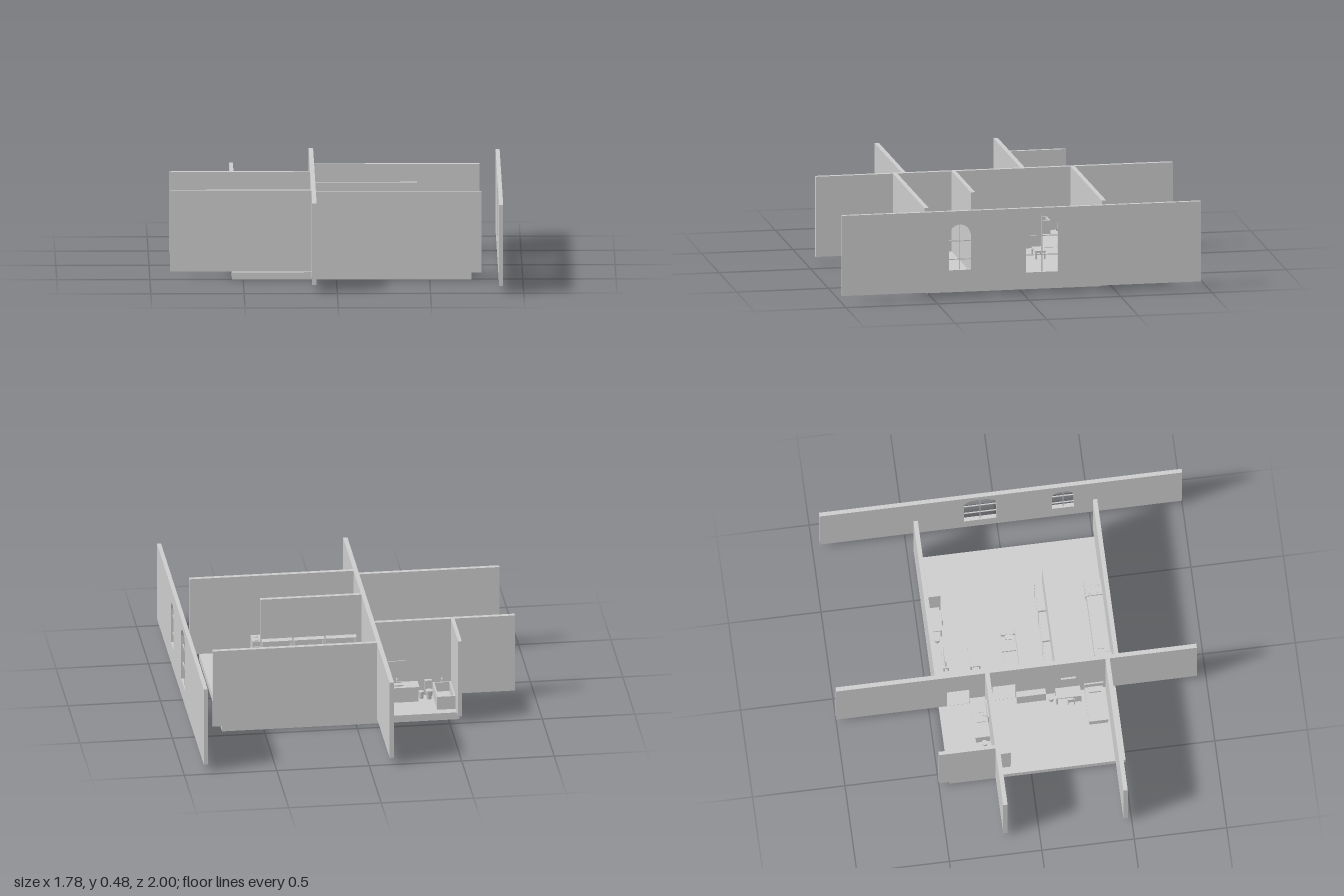
import * as THREE from 'three';

const grey = new THREE.MeshStandardMaterial({ color: 0xcccccc, flatShading: true });
const FLOOR = 0.04, TOP = 0.48;

// Box given by its limits on each axis
function box(parent, name, x0, x1, y0, y1, z0, z1) {
  const m = new THREE.Mesh(new THREE.BoxGeometry(x1 - x0, y1 - y0, z1 - z0), grey);
  m.position.set((x0 + x1) / 2, (y0 + y1) / 2, (z0 + z1) / 2);
  m.name = name;
  parent.add(m);
  return m;
}

function cyl(parent, name, x, z, y0, y1, r0, r1 = r0) {
  const m = new THREE.Mesh(new THREE.CylinderGeometry(r1, r0, y1 - y0, 16), grey);
  m.position.set(x, (y0 + y1) / 2, z);
  m.name = name;
  parent.add(m);
  return m;
}

function group(parent, name) {
  const g = new THREE.Group();
  g.name = name;
  parent.add(g);
  return g;
}

// Wall running along z, drawn as a (z, y) outline with openings
function zWall(parent, name, x0, x1, z0, z1, holes) {
  const s = new THREE.Shape();
  s.moveTo(z0, FLOOR).lineTo(z1, FLOOR).lineTo(z1, TOP).lineTo(z0, TOP).closePath();
  s.holes.push(...holes);
  const g = new THREE.ExtrudeGeometry(s, { depth: x1 - x0, bevelEnabled: false, curveSegments: 16 });
  const m = new THREE.Mesh(g, grey);
  m.rotation.y = -Math.PI / 2;
  m.position.x = x1;
  m.name = name;
  parent.add(m);
}

function archHole(z0, z1, y0, spring, top) {
  const p = new THREE.Path();
  p.moveTo(z0, y0).lineTo(z1, y0).lineTo(z1, spring);
  p.absellipse((z0 + z1) / 2, spring, (z1 - z0) / 2, top - spring, 0, Math.PI, false);
  return p.closePath();
}

function doorHole(z0, z1) {
  return new THREE.Path().moveTo(z0, FLOOR + 0.002).lineTo(z1, FLOOR + 0.002)
    .lineTo(z1, 0.255).lineTo(z0, 0.255).closePath();
}

function table(parent, name, x0, x1, y1, z0, z1, t = 0.01, leg = 0.008) {
  const g = group(parent, name);
  box(g, 'tabletop', x0, x1, y1 - t, y1, z0, z1);
  for (const x of [x0, x1 - leg]) for (const z of [z0, z1 - leg])
    box(g, 'leg', x, x + leg, FLOOR, y1 - t, z, z + leg);
  return g;
}

// Desk with drawers, a stool and a bin, built facing +z with its back on z = 0
function deskSet(parent) {
  const g = group(parent, 'deskSet');
  table(g, 'desk', 0, 0.135, 0.13, 0, 0.06);
  box(g, 'drawers', 0.09, 0.133, FLOOR, 0.12, 0.004, 0.056);
  const c = table(g, 'chair', 0.06, 0.1, 0.09, 0.035, 0.072, 0.008, 0.005);
  box(c, 'chairBack', 0.06, 0.1, 0.09, 0.12, 0.068, 0.072);
  cyl(g, 'bin', -0.025, 0.03, FLOOR, 0.08, 0.012, 0.015);
  return g;
}

function faucet(parent, x, z, y, dir) {
  cyl(parent, 'faucet', x, z, y, y + 0.025, 0.003);
  box(parent, 'spout', x - 0.002, x + 0.002, y + 0.021, y + 0.025, Math.min(z, z + dir * 0.018), Math.max(z, z + dir * 0.018));
}

// Raised rim of a basin or tub
function rim(parent, name, x0, x1, y0, y1, z0, z1, t) {
  const g = group(parent, name);
  box(g, 'base', x0, x1, y0, y0 + (y1 - y0) * 0.3, z0, z1);
  box(g, 'sideWall', x0, x0 + t, y0, y1, z0, z1);
  box(g, 'sideWall', x1 - t, x1, y0, y1, z0, z1);
  box(g, 'endWall', x0 + t, x1 - t, y0, y1, z0, z0 + t);
  box(g, 'endWall', x0 + t, x1 - t, y0, y1, z1 - t, z1);
}

export function createModel() {
  const root = new THREE.Group();
  root.name = 'house';
  box(root, 'floor', -0.56, 0.725, 0, FLOOR, -0.445, 0.51);

  // Walls
  const walls = group(root, 'walls');
  zWall(walls, 'windowWall', 0.868, 0.89, -0.96, 1.0,
    [archHole(0.297, 0.415, 0.157, 0.347, 0.406), archHole(-0.18, -0.005, 0.128, 0.375, 0.44)]);
  zWall(walls, 'centreWall', -0.134, -0.11, -1.0, 0.95, [doorHole(-0.4, -0.28), doorHole(-0.155, -0.03)]);
  for (const [x0, x1, z0, z1] of [
    [-0.11, 0.777, -0.465, -0.441], [-0.11, 0.777, 0.505, 0.529], [-0.11, 0.435, 0.185, 0.208],
    [-0.892, -0.134, 0.455, 0.479], [-0.892, -0.134, -0.195, -0.171], [-0.565, -0.545, -0.5, -0.195],
  ]) box(walls, 'wall', x0, x1, FLOOR, TOP, z0, z1);

  // Window bars
  for (const [z0, z1, y0, y1, bars] of [[0.297, 0.415, 0.157, 0.406, [0.215, 0.315]], [-0.18, -0.005, 0.128, 0.44, [0.222, 0.326]]]) {
    const c = (z0 + z1) / 2;
    box(walls, 'windowBar', 0.876, 0.882, y0, y1, c - 0.0025, c + 0.0025);
    for (const y of bars) box(walls, 'windowBar', 0.876, 0.882, y - 0.0025, y + 0.0025, z0, z1);
  }

  // Living room
  const living = group(root, 'livingRoom');
  const sofa = group(living, 'sofa');
  box(sofa, 'seat', 0.02, 0.208, 0.05, 0.085, -0.06, 0.01);
  box(sofa, 'back', 0.0, 0.225, FLOOR, 0.14, 0.01, 0.03);
  for (const x of [0, 0.205]) box(sofa, 'arm', x, x + 0.02, FLOOR, 0.11, -0.065, 0.01);
  for (const x of [0.025, 0.116]) box(sofa, 'cushion', x, x + 0.086, 0.085, 0.096, -0.07, 0.008);
  const pillow = box(sofa, 'pillow', 0.175, 0.2, 0.096, 0.135, -0.045, -0.005);
  pillow.rotation.z = 0.3;
  table(living, 'coffeeTable', 0.055, 0.172, 0.085, -0.25, -0.195);
  const stand = table(living, 'screenStand', 0.065, 0.16, 0.085, -0.395, -0.365);
  box(stand, 'screen', 0.07, 0.155, 0.095, 0.165, -0.384, -0.377);
  box(stand, 'screenFoot', 0.1, 0.125, 0.085, 0.095, -0.388, -0.372);
  deskSet(living).position.set(0.265, 0, -0.436);
  const cabinet = group(living, 'cabinet');
  box(cabinet, 'cabinetBody', 0.415, 0.58, FLOOR, 0.26, -0.43, -0.365);
  for (const z of [-0.412, -0.377]) cyl(cabinet, 'handle', 0.584, z, 0.13, 0.17, 0.004);

  // Bookcases
  for (let i = 0; i < 3; i++) {
    const g = group(living, 'bookcase'), x0 = -0.08 + i * 0.173, x1 = x0 + 0.165;
    box(g, 'backPanel', x0, x1, FLOOR, 0.25, 0.178, 0.185);
    for (const x of [x0, x1 - 0.007]) box(g, 'sidePanel', x, x + 0.007, FLOOR, 0.25, 0.145, 0.178);
    for (let k = 0; k < 5; k++)
      box(g, 'shelf', x0 + 0.007, x1 - 0.007, FLOOR + k * 0.0507, FLOOR + 0.007 + k * 0.0507, 0.145, 0.178);
  }

  // Kitchen
  const kitchen = group(root, 'kitchen');
  box(kitchen, 'fridge', -0.108, -0.012, FLOOR, 0.25, 0.415, 0.504);
  box(kitchen, 'fridgeHandle', -0.026, -0.021, 0.11, 0.19, 0.408, 0.415);
  box(kitchen, 'counter', -0.012, 0.358, FLOOR, 0.13, 0.418, 0.504);
  rim(kitchen, 'sink', -0.004, 0.058, 0.13, 0.136, 0.435, 0.485, 0.005);
  faucet(kitchen, 0.027, 0.492, 0.13, -1);
  box(kitchen, 'stove', 0.36, 0.448, FLOOR, 0.135, 0.416, 0.504);
  box(kitchen, 'ovenDoor', 0.368, 0.44, 0.055, 0.105, 0.412, 0.416);
  for (const x of [0.383, 0.425]) for (const z of [0.438, 0.482]) cyl(kitchen, 'burner', x, z, 0.135, 0.138, 0.014);

  // Bedroom
  const bedroom = group(root, 'bedroom');
  box(bedroom, 'bedBase', -0.34, -0.14, 0.05, 0.085, 0.342, 0.442);
  box(bedroom, 'mattress', -0.338, -0.146, 0.085, 0.1, 0.345, 0.439);
  box(bedroom, 'blanket', -0.343, -0.215, 0.08, 0.104, 0.34, 0.444);
  box(bedroom, 'headboard', -0.146, -0.138, FLOOR, 0.145, 0.34, 0.444);
  box(bedroom, 'pillow', -0.18, -0.15, 0.1, 0.115, 0.36, 0.425);
  for (const x of [-0.335, -0.155]) for (const z of [0.348, 0.43]) box(bedroom, 'bedLeg', x, x + 0.008, FLOOR, 0.05, z, z + 0.008);
  const desk = deskSet(bedroom);
  desk.rotation.y = -Math.PI / 2;
  desk.position.set(-0.14, 0, 0.182);
  box(bedroom, 'wallPanel', -0.145, -0.135, 0.17, 0.265, 0.215, 0.295);
  box(bedroom, 'lowShelf', -0.168, -0.136, FLOOR, 0.14, -0.028, 0.13);
  box(bedroom, 'dresser', -0.52, -0.357, FLOOR, 0.255, -0.17, -0.108);
  for (let k = 0; k < 4; k++)
    box(bedroom, 'drawerFront', -0.512, -0.365, 0.05 + k * 0.05, 0.093 + k * 0.05, -0.108, -0.105);

  // Bathroom
  const bath = group(root, 'bathroom');
  rim(bath, 'bathtub', -0.544, -0.445, FLOOR, 0.115, -0.396, -0.197, 0.009);
  faucet(bath, -0.495, -0.202, 0.115, -1);
  box(bath, 'toiletTank', -0.44, -0.402, 0.08, 0.135, -0.22, -0.197);
  cyl(bath, 'toiletBowl', -0.421, -0.243, FLOOR, 0.09, 0.012, 0.021);
  cyl(bath, 'bin', -0.38, -0.23, FLOOR, 0.08, 0.012, 0.015);
  box(bath, 'vanityTop', -0.365, -0.136, 0.115, 0.127, -0.28, -0.197);
  box(bath, 'vanityCabinet', -0.36, -0.215, FLOOR, 0.115, -0.274, -0.197);
  rim(bath, 'basin', -0.28, -0.222, 0.127, 0.134, -0.257, -0.21, 0.005);
  faucet(bath, -0.251, -0.205, 0.127, -1);
  box(bath, 'mirror', -0.3, -0.2, 0.165, 0.25, -0.201, -0.195);
  return root;
}
